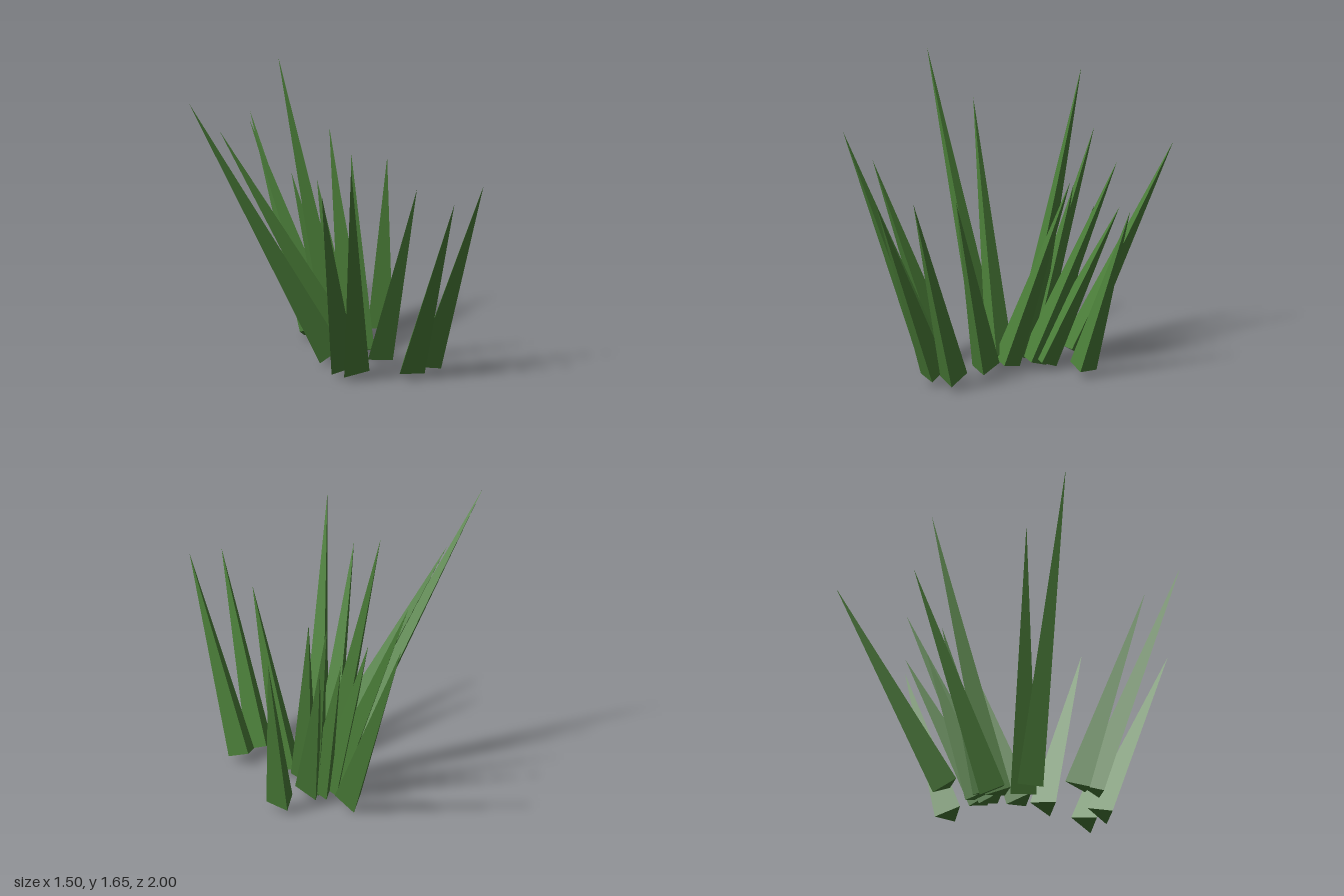
import * as THREE from 'three';

// Each blade: [base centre x, y, z, tip x, y, z]
const BLADES = [
  // left-leaning pair
  [0.11, 0.06, 0.135, -0.75, 1.64, 0.14],
  [0.23, 0.06, 0.12, -0.485, 1.395, -0.03],
  // front group
  [0.075, 0.06, 0.40, -0.18, 1.18, 0.72],
  [0.115, 0.06, 0.49, -0.095, 1.395, 0.94],
  [0.41, 0.06, 0.60, 0.515, 1.125, 1.0],
  [0.54, 0.06, 0.535, 0.75, 1.17, 0.87],
  [0.36, 0.05, 0.26, 0.50, 1.08, 0.50],
  // back-leaning cluster
  [0.20, 0.05, -0.07, -0.06, 1.26, -0.59],
  [0.225, 0.05, -0.03, 0.06, 1.655, -0.46],
  [0.23, 0.05, -0.10, 0.11, 0.99, -0.39],
  [0.30, 0.05, -0.13, 0.29, 0.91, -0.44],
  [0.32, 0.05, -0.05, 0.405, 1.18, -0.53],
  [0.355, 0.05, -0.10, 0.445, 0.93, -0.53],
  [0.31, 0.05, 0.11, 0.415, 1.10, -0.24],
  // outlying blades at the back
  [0.205, 0.05, -0.345, 0.12, 1.18, -1.0],
  [0.575, 0.05, -0.245, 0.735, 0.98, -0.47],
];

const RADIUS = 0.09;
const UP = new THREE.Vector3(0, 1, 0);

export function createModel() {
  const group = new THREE.Group();
  group.name = 'grassTuft';
  const material = new THREE.MeshStandardMaterial({ color: 0x4a7d38, flatShading: true });

  BLADES.forEach(([bx, by, bz, tx, ty, tz], i) => {
    const base = new THREE.Vector3(bx, by, bz);
    const axis = new THREE.Vector3(tx, ty, tz).sub(base);
    const length = axis.length();

    // three-sided spike standing on its base, one corner pointing back
    const geometry = new THREE.ConeGeometry(RADIUS, length, 3, 1);
    geometry.rotateY(Math.PI);
    geometry.translate(0, length / 2, 0);

    const blade = new THREE.Mesh(geometry, material);
    blade.name = `grassBlade${i + 1}`;
    blade.position.copy(base);
    blade.quaternion.setFromUnitVectors(UP, axis.normalize());
    group.add(blade);
  });
  return group;
}
